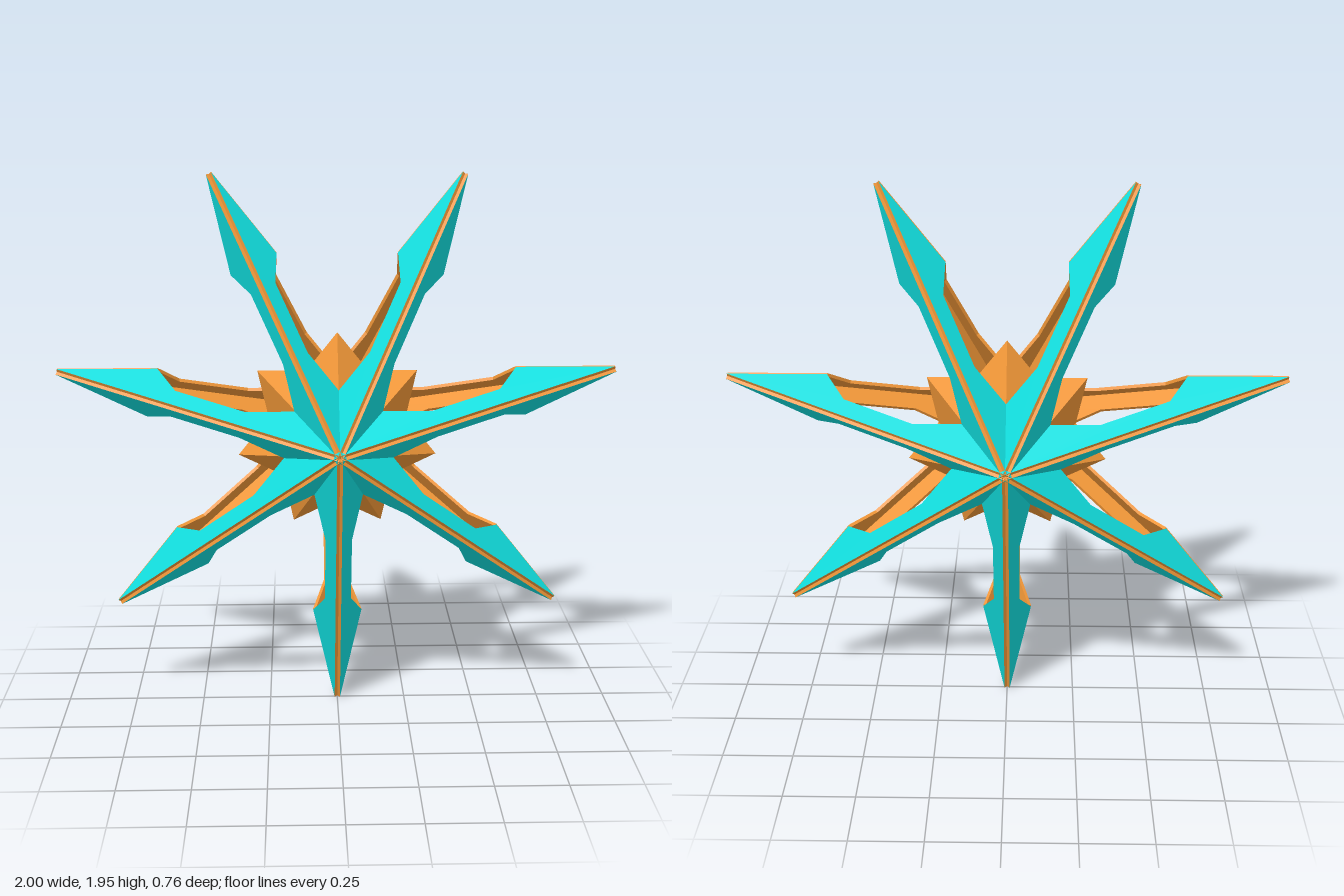
import * as THREE from 'three';

const POINTS = 7, R = 1.021, DEPTH = 0.375, CENTER_Y = 1.023, THICK = 0.012;
const STEP = Math.PI / POINTS;
const VALLEY = R * Math.cos(3 * STEP) / Math.cos(2 * STEP);   // radius between two arms
const NOTCH = VALLEY * Math.cos(2 * STEP) / Math.cos(STEP);   // inner radius of the core star

// Plane of one arm face in arm coordinates (r along, w across, z depth): r/R + K*w + z/DEPTH = 1
const K = (1 - VALLEY * Math.cos(STEP) / R) / (VALLEY * Math.sin(STEP));
const NORMAL = new THREE.Vector3(1 / R, K, 1 / DEPTH).normalize();
const zAt = (r, w) => DEPTH * (1 - r / R - K * w);
const wAt = (r, z) => (1 - r / R - z / DEPTH) / K;

// Outline of one plate: tip, window edge, valley, apex
const CUT_Z = 0.19, RIM = 0.037;
const d = VALLEY * (1 - CUT_Z / DEPTH);
const OUTLINE = [
  [R, 0, 0],
  [0.673, wAt(0.673, 0), 0],
  [0.593, RIM, zAt(0.593, RIM)],
  [R * (1 - CUT_Z / DEPTH - K * RIM), RIM, CUT_Z],
  [d * Math.cos(STEP), d * Math.sin(STEP), CUT_Z],
  [0, 0, DEPTH],
].map((p) => new THREE.Vector3(...p));
const OUTER = OUTLINE.map((p) => p.clone().addScaledVector(NORMAL, THICK));
const TRIS = THREE.ShapeUtils.triangulateShape(OUTLINE.map((p) => new THREE.Vector2(p.x, p.y)), []);

function meshOf(tris, material, name) {
  const geo = new THREE.BufferGeometry().setFromPoints(tris.flat());
  geo.computeVertexNormals();
  const mesh = new THREE.Mesh(geo, material);
  mesh.name = name;
  return mesh;
}

// Mirror triangles across the arm (s) and front to back (q), keeping them facing outward
function mirror(tris, s, q) {
  return tris.map((t) => {
    const m = t.map((p) => new THREE.Vector3(p.x, p.y * s, p.z * q));
    return s * q < 0 ? m.reverse() : m;
  });
}

export function createModel() {
  const teal = new THREE.MeshStandardMaterial({ color: 0x11dddd });
  const orange = new THREE.MeshStandardMaterial({ color: 0xee9537 });
  const star = new THREE.Group();
  star.name = 'star';
  star.position.y = CENTER_Y;

  // One plate: outer face, and its inner face with the rim walls
  const face = TRIS.map((t) => t.map((i) => OUTER[i]));
  const lining = TRIS.map(([a, b, c]) => [OUTLINE[a], OUTLINE[c], OUTLINE[b]]);
  OUTLINE.forEach((p, i) => {
    const j = (i + 1) % OUTLINE.length;
    lining.push([p, OUTLINE[j], OUTER[j]], [p, OUTER[j], OUTER[i]]);
  });

  // Seven arms, four plates each
  const signs = [[1, 1], [-1, 1], [1, -1], [-1, -1]];
  for (let i = 0; i < POINTS; i++) {
    const arm = new THREE.Group();
    arm.name = 'arm' + (i + 1);
    arm.add(meshOf(signs.flatMap(([s, q]) => mirror(face, s, q)), teal, 'outerPlates'));
    arm.add(meshOf(signs.flatMap(([s, q]) => mirror(lining, s, q)), orange, 'innerLining'));
    arm.rotation.z = -Math.PI / 2 + i * 2 * STEP;
    star.add(arm);
  }

  // Core: a double-sided pointed star whose points sit between the arms
  const half = [];
  const rim = (i) => {
    const a = -Math.PI / 2 + i * STEP, r = i % 2 ? VALLEY : NOTCH;
    return new THREE.Vector3(Math.cos(a) * r, Math.sin(a) * r, 0);
  };
  for (let i = 0; i < 2 * POINTS; i++) half.push([new THREE.Vector3(0, 0, DEPTH), rim(i), rim(i + 1)]);
  star.add(meshOf([...half, ...mirror(half, 1, -1)], orange, 'coreStar'));

  const model = new THREE.Group();
  model.name = 'pointedStarOrnament';
  model.add(star);
  return model;
}
